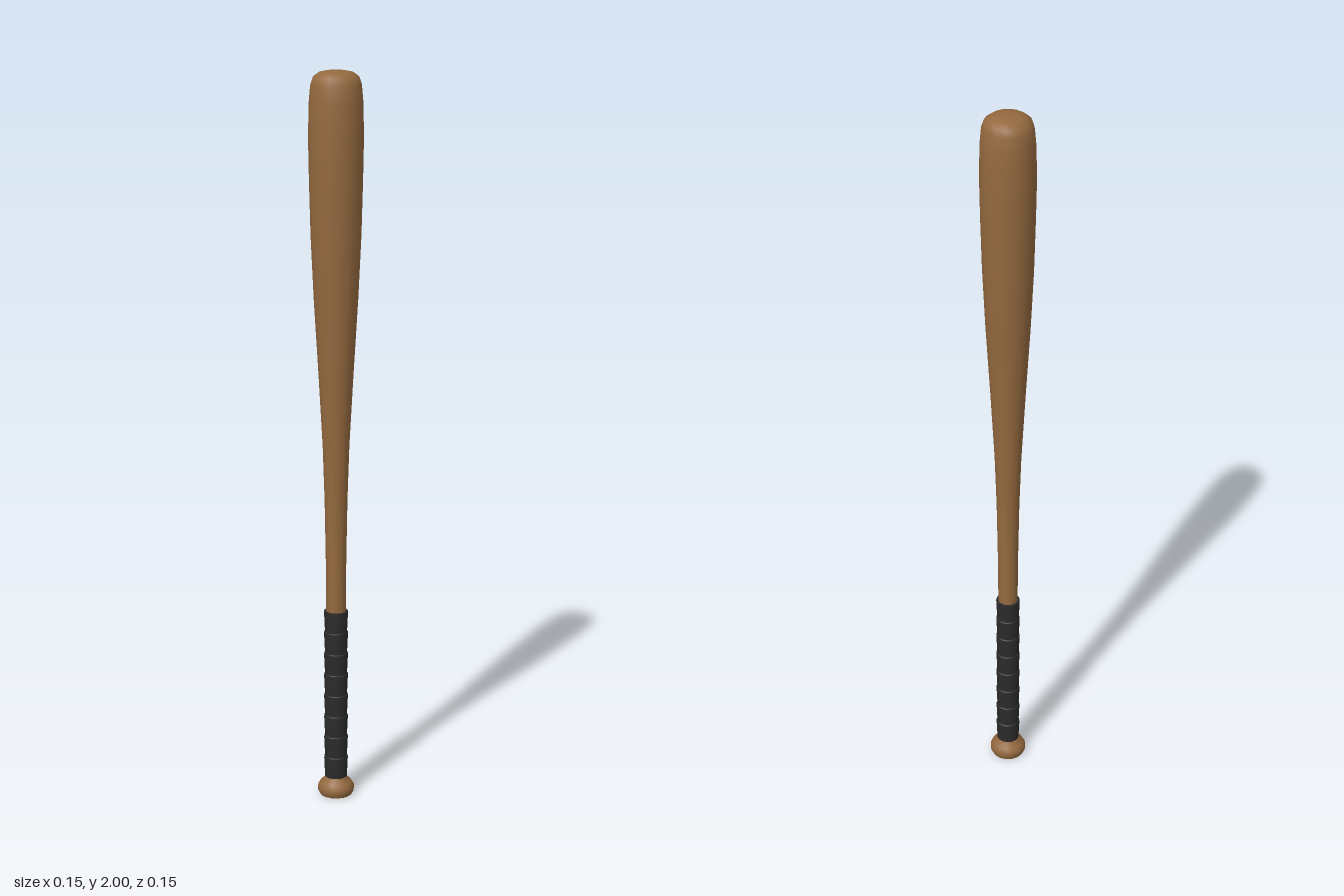
import * as THREE from 'three';
import { toCreasedNormals } from 'three/addons/utils/BufferGeometryUtils.js';

const SIDES = 16;

export function createModel() {
  const wood = new THREE.MeshStandardMaterial({ color: 0x94693f });
  wood.name = 'wood';
  const tape = new THREE.MeshStandardMaterial({ color: 0x2a2a2a });
  tape.name = 'black tape';

  const bat = new THREE.Group();
  bat.name = 'bat';

  // turned part from [radius, height] pairs, listed bottom to top
  const turned = (name, profile, material, crease) => {
    const points = profile.map(([r, y]) => new THREE.Vector2(r, y));
    const geometry = toCreasedNormals(new THREE.LatheGeometry(points, SIDES), crease);
    const mesh = new THREE.Mesh(geometry, material);
    mesh.name = name;
    bat.add(mesh);
  };

  // flared knob with a flat base
  turned('knob', [
    [0, 0], [0.044, 0], [0.05, 0.012], [0.05, 0.024], [0.043, 0.036], [0.031, 0.047], [0.027, 0.06],
  ], wood, 1.0);

  // slim handle swelling into the barrel, with a rounded end
  turned('barrel', [
    [0.027, 0.05], [0.027, 0.55], [0.028, 0.68], [0.031, 0.85], [0.036, 1.0], [0.047, 1.2],
    [0.059, 1.4], [0.067, 1.57], [0.071, 1.72], [0.073, 1.83], [0.071, 1.92], [0.067, 1.965],
    [0.06, 1.985], [0.045, 1.996], [0.025, 2.0], [0, 2.0],
  ], wood, 1.2);

  // overlapping tape wraps, each flaring to a small ledge at its top
  const WRAPS = 8, bottom = 0.05, top = 0.535;
  const step = (top - bottom) / WRAPS;
  const wraps = [[0.027, bottom]];
  for (let i = 0; i < WRAPS; i++) {
    const y = bottom + i * step;
    wraps.push([0.0305, y + 0.002], [0.033, y + step - 0.004], [0.0325, y + step]);
  }
  wraps.push([0.027, top]);
  turned('grip', wraps, tape, 0.6);

  return bat;
}
